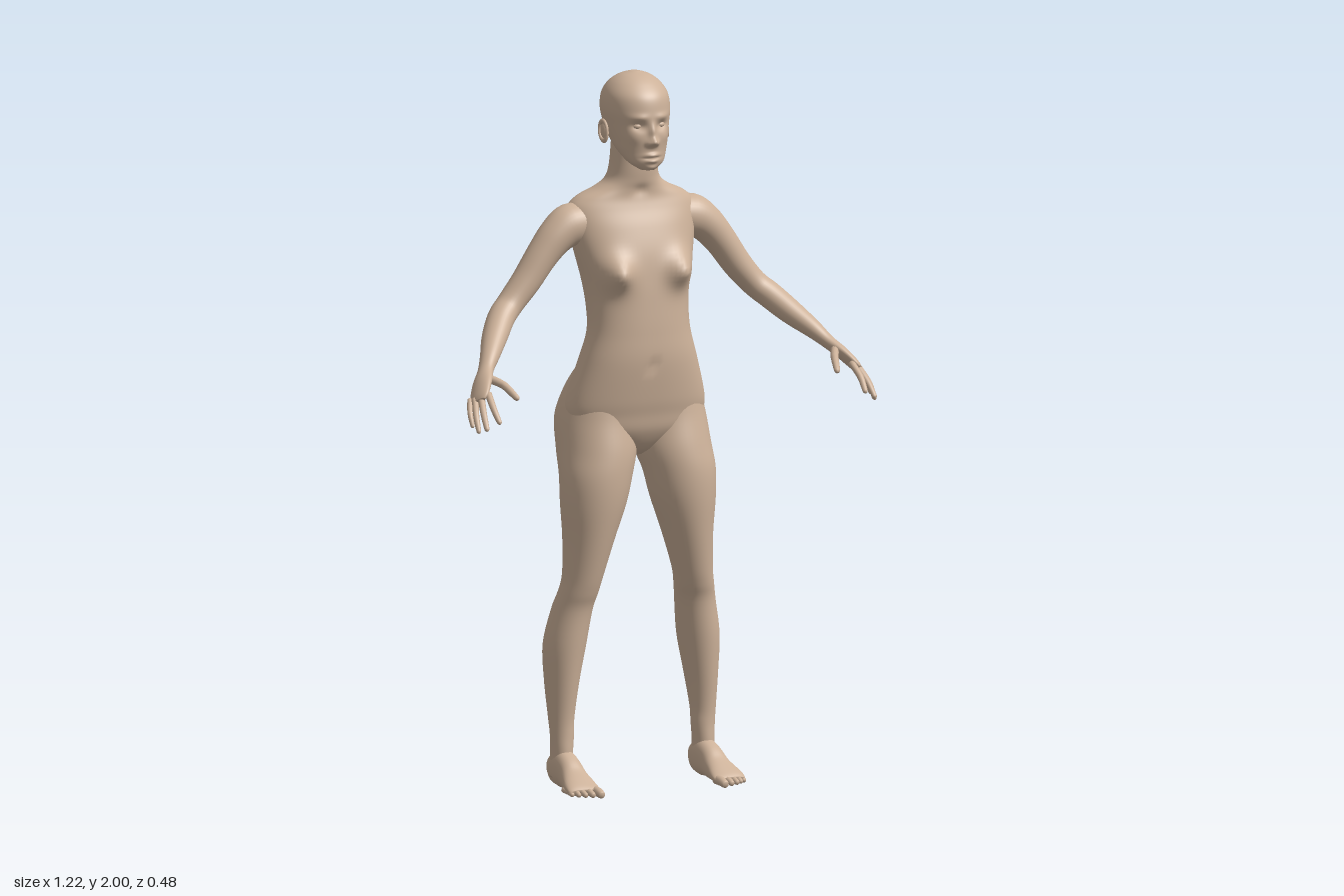
import * as THREE from 'three';

const skin = new THREE.MeshStandardMaterial({ color: 0xccb199 });

// Smoothly interpolates rows of numbers (Catmull-Rom on every column)
function refine(rows, sub) {
  const out = [];
  const at = i => rows[Math.min(rows.length - 1, Math.max(0, i))];
  for (let i = 0; i < rows.length - 1; i++) {
    for (let k = 0; k < sub; k++) {
      const t = k / sub;
      out.push(rows[i].map((p1, c) => {
        const p0 = at(i - 1)[c], p2 = at(i + 1)[c], p3 = at(i + 2)[c];
        return p1 + 0.5 * t * (p2 - p0 + t * (2 * p0 - 5 * p1 + 4 * p2 - p3 + t * (3 * (p1 - p2) + p3 - p0)));
      }));
    }
  }
  out.push(rows[rows.length - 1]);
  return out;
}

// Skins closed rings of points, with a cap at each end
function skinRings(rings) {
  const n = rings[0].length, pos = [], index = [];
  rings.forEach(r => r.forEach(p => pos.push(p.x, p.y, p.z)));
  for (let i = 0; i < rings.length - 1; i++) {
    for (let j = 0; j < n; j++) {
      const a = i * n + j, b = i * n + (j + 1) % n;
      index.push(a, b, b + n, a, b + n, a + n);
    }
  }
  for (const i of [0, rings.length - 1]) {
    const c = rings[i].reduce((s, p) => s.add(p), new THREE.Vector3()).divideScalar(n);
    const id = pos.length / 3;
    pos.push(c.x, c.y, c.z);
    for (let j = 0; j < n; j++) {
      const a = i * n + j, b = i * n + (j + 1) % n;
      if (i === 0) index.push(id, b, a); else index.push(id, a, b);
    }
  }
  const g = new THREE.BufferGeometry();
  g.setAttribute('position', new THREE.Float32BufferAttribute(pos, 3));
  g.setIndex(index);
  g.computeVertexNormals();
  return g;
}

const spow = (v, e) => Math.sign(v) * Math.abs(v) ** e;

// Level rings [centreX, y, frontZ, backZ, halfWidth], listed upwards;
// bumps [x, y, front 1 / back -1, spreadX, spreadY, dz] are mirrored in x
function levelLoft(rows, { n = 48, sub = 5, p = 2, bumps = [] } = {}) {
  return skinRings(refine(rows, sub).map(([cx, y, f, b, w]) => Array.from({ length: n }, (_, j) => {
    const a = j / n * Math.PI * 2, c = Math.cos(a);
    const x = cx + w * spow(Math.sin(a), 2 / p);
    let z = (f + b) / 2 + (f - b) / 2 * spow(c, 2 / p);
    for (const [bx, by, side, sx, sy, dz] of bumps) {
      const weight = Math.min(1, 2 * Math.max(0, c * side));
      z += weight * dz * Math.exp(-(((Math.abs(x) - bx) / sx) ** 2) - ((y - by) / sy) ** 2);
    }
    return new THREE.Vector3(x, y, z);
  })));
}

// Tube along a path of [x, y, z, radius towards ref, radius across]
function limb(rows, { n = 28, sub = 5, p = 2, ref = new THREE.Vector3(0, 0, 1) } = {}) {
  const dense = refine(rows, sub);
  const pts = dense.map(r => new THREE.Vector3(r[0], r[1], r[2]));
  return skinRings(dense.map((r, i) => {
    const T = pts[Math.min(i + 1, pts.length - 1)].clone().sub(pts[Math.max(i - 1, 0)]).normalize();
    const N = ref.clone().addScaledVector(T, -ref.dot(T)).normalize();
    const B = T.clone().cross(N);
    return Array.from({ length: n }, (_, j) => {
      const a = j / n * Math.PI * 2;
      return pts[i].clone().addScaledVector(N, r[3] * spow(Math.cos(a), 2 / p))
        .addScaledVector(B, r[4] * spow(Math.sin(a), 2 / p));
    });
  }));
}

// Finger or toe: tapered with a rounded tip
function digit(base, mid, tip, r, ref) {
  const mix = (a, b, t) => a.map((v, i) => v + (b[i] - v) * t);
  return limb([[...base, r, r], [...mid, r * 0.92, r * 0.92], [...mix(mid, tip, 0.8), r * 0.75, r * 0.75],
    [...mix(mid, tip, 0.95), r * 0.5, r * 0.5], [...tip, r * 0.12, r * 0.12]], { n: 12, sub: 3, ref });
}

function mirrored(geo) {
  const g = geo.clone().scale(-1, 1, 1);
  const ix = g.index.array;
  for (let i = 0; i < ix.length; i += 3) [ix[i], ix[i + 1]] = [ix[i + 1], ix[i]];
  return g;
}

export function createModel() {
  const model = new THREE.Group();
  model.name = 'figure';
  const add = (name, geo) => {
    const mesh = new THREE.Mesh(geo, skin);
    mesh.name = name;
    model.add(mesh);
  };
  const addPair = (name, geo) => {
    add('left' + name, geo);
    add('right' + name, mirrored(geo));
  };

  // Torso and neck in one loft
  add('torso', levelLoft([
    [0, 0.925, -0.06, -0.11, 0.02], [0, 0.95, -0.02, -0.15, 0.07], [0, 1.0, 0.01, -0.185, 0.185],
    [0, 1.05, 0.02, -0.198, 0.205], [0, 1.1, 0.03, -0.195, 0.2], [0, 1.2, 0.042, -0.172, 0.17],
    [0, 1.28, 0.04, -0.158, 0.148], [0, 1.35, 0.035, -0.17, 0.146], [0, 1.42, 0.028, -0.187, 0.154],
    [0, 1.5, 0.015, -0.2, 0.172], [0, 1.57, -0.008, -0.209, 0.186], [0, 1.62, -0.03, -0.2, 0.186],
    [0, 1.65, -0.04, -0.188, 0.16], [0, 1.675, -0.04, -0.174, 0.108], [0, 1.7, -0.036, -0.162, 0.077],
    [0, 1.74, -0.032, -0.154, 0.066], [0, 1.82, -0.03, -0.15, 0.06],
  ], {
    n: 80, sub: 6, p: 2.25, bumps: [
      [0.098, 1.45, 1, 0.042, 0.045, 0.046], [0.105, 1.445, 1, 0.01, 0.01, 0.006], // breasts
      [0, 1.19, 1, 0.012, 0.014, -0.008], // navel
      [0, 1.42, -1, 0.025, 0.17, 0.014], // spine furrow
      [0.1, 1.55, -1, 0.05, 0.06, -0.008], // shoulder blades
      [0, 1.67, 1, 0.02, 0.015, -0.006], // throat hollow
    ],
  }));

  // Head with its face modelled by bumps
  add('head', levelLoft([
    [0, 1.738, 0.022, -0.02, 0.022], [0, 1.758, 0.033, -0.06, 0.05], [0, 1.79, 0.034, -0.12, 0.068],
    [0, 1.82, 0.036, -0.16, 0.077], [0, 1.86, 0.034, -0.186, 0.086], [0, 1.9, 0.032, -0.195, 0.092],
    [0, 1.94, 0.022, -0.188, 0.087], [0, 1.97, -0.006, -0.163, 0.069], [0, 1.99, -0.038, -0.13, 0.042],
    [0, 2.0, -0.072, -0.097, 0.01],
  ], {
    n: 112, sub: 10, p: 2.1, bumps: [
      [0, 1.82, 1, 0.011, 0.012, 0.022], [0, 1.848, 1, 0.009, 0.022, 0.012], // nose
      [0.013, 1.815, 1, 0.007, 0.008, 0.009], // nostrils
      [0.034, 1.862, 1, 0.018, 0.012, -0.012], // eye sockets
      [0.034, 1.887, 1, 0.022, 0.009, 0.005], // brows
      [0.048, 1.83, 1, 0.02, 0.018, 0.004], // cheeks
      [0, 1.781, 1, 0.018, 0.006, 0.009], [0, 1.765, 1, 0.016, 0.006, 0.009], // lips
      [0, 1.773, 1, 0.022, 0.003, -0.006], // mouth line
      [0, 1.745, 1, 0.018, 0.008, 0.006], // chin
    ],
  }));
  addPair('Eye', new THREE.SphereGeometry(0.013, 20, 14).scale(1.1, 0.75, 1).translate(0.034, 1.862, 0.007));
  const place = g => g.rotateY(-0.3).rotateX(-0.2).translate(0.092, 1.838, -0.083);
  addPair('Ear', place(new THREE.SphereGeometry(1, 20, 14).scale(0.007, 0.026, 0.015)));
  addPair('EarRim', place(new THREE.TorusGeometry(0.017, 0.0045, 10, 28).rotateY(Math.PI / 2)
    .scale(1, 1.6, 0.95).translate(0.004, 0, 0)));

  // Legs, including the buttocks
  addPair('Leg', levelLoft([
    [0.215, 0.03, -0.06, -0.145, 0.03], [0.215, 0.1, -0.06, -0.137, 0.03], [0.214, 0.15, -0.062, -0.135, 0.033],
    [0.215, 0.2, -0.06, -0.143, 0.036], [0.211, 0.3, -0.048, -0.165, 0.047], [0.203, 0.4, -0.037, -0.175, 0.058],
    [0.187, 0.5, -0.028, -0.155, 0.056], [0.176, 0.55, -0.013, -0.137, 0.055], [0.166, 0.6, 0, -0.13, 0.056],
    [0.15, 0.7, 0.02, -0.145, 0.07], [0.136, 0.8, 0.035, -0.158, 0.091], [0.126, 0.88, 0.038, -0.17, 0.102],
    [0.113, 0.95, 0.03, -0.213, 0.11], [0.108, 1.03, 0.012, -0.24, 0.108], [0.1, 1.1, 0, -0.219, 0.097],
    [0.09, 1.16, -0.03, -0.183, 0.078], [0.085, 1.2, -0.05, -0.15, 0.05],
  ]));

  // Feet and toes
  const up = new THREE.Vector3(0, 1, 0);
  addPair('Foot', limb([
    [0.215, 0.035, -0.152, 0.018, 0.015], [0.215, 0.045, -0.135, 0.04, 0.028], [0.214, 0.055, -0.09, 0.053, 0.034],
    [0.215, 0.05, -0.05, 0.047, 0.035], [0.217, 0.036, -0.01, 0.034, 0.039], [0.22, 0.026, 0.03, 0.023, 0.046],
    [0.221, 0.018, 0.06, 0.015, 0.048], [0.222, 0.014, 0.074, 0.009, 0.043],
  ], { p: 2.3, n: 36, ref: up }));
  [[0.188, 0.112, 0.014], [0.211, 0.106, 0.0105], [0.23, 0.099, 0.0095], [0.246, 0.089, 0.009], [0.261, 0.077, 0.0085]]
    .forEach(([x, z, r], i) => addPair('Toe' + (i + 1),
      digit([x, 0.016, z - 0.06], [x, 0.015, z - 0.025], [x, 0.01, z], r, up)));

  // Arms run through the wrist into the palm
  addPair('Arm', limb([
    [0.12, 1.582, -0.115, 0.058, 0.048], [0.18, 1.576, -0.112, 0.06, 0.06], [0.225, 1.55, -0.108, 0.054, 0.052],
    [0.27, 1.5, -0.106, 0.047, 0.045], [0.32, 1.43, -0.105, 0.043, 0.041], [0.37, 1.372, -0.1, 0.041, 0.037],
    [0.408, 1.338, -0.078, 0.041, 0.037], [0.45, 1.295, -0.03, 0.038, 0.034], [0.49, 1.255, 0.025, 0.029, 0.026],
    [0.52, 1.222, 0.062, 0.025, 0.019], [0.547, 1.194, 0.098, 0.035, 0.017], [0.571, 1.164, 0.132, 0.036, 0.013],
    [0.58, 1.152, 0.145, 0.026, 0.008],
  ], { n: 36 }));

  // Fingers: base, joint, tip, radius
  const fingers = {
    Thumb: [[0.527, 1.207, 0.095], [0.503, 1.194, 0.145], [0.485, 1.162, 0.203], 0.012],
    IndexFinger: [[0.552, 1.174, 0.15], [0.558, 1.143, 0.195], [0.556, 1.104, 0.237], 0.0098],
    MiddleFinger: [[0.57, 1.164, 0.142], [0.583, 1.127, 0.186], [0.59, 1.085, 0.226], 0.0098],
    RingFinger: [[0.582, 1.158, 0.128], [0.597, 1.119, 0.167], [0.602, 1.075, 0.198], 0.0092],
    LittleFinger: [[0.589, 1.154, 0.11], [0.603, 1.124, 0.139], [0.605, 1.085, 0.163], 0.008],
  };
  for (const [name, f] of Object.entries(fingers)) addPair(name, digit(...f));

  return model;
}
